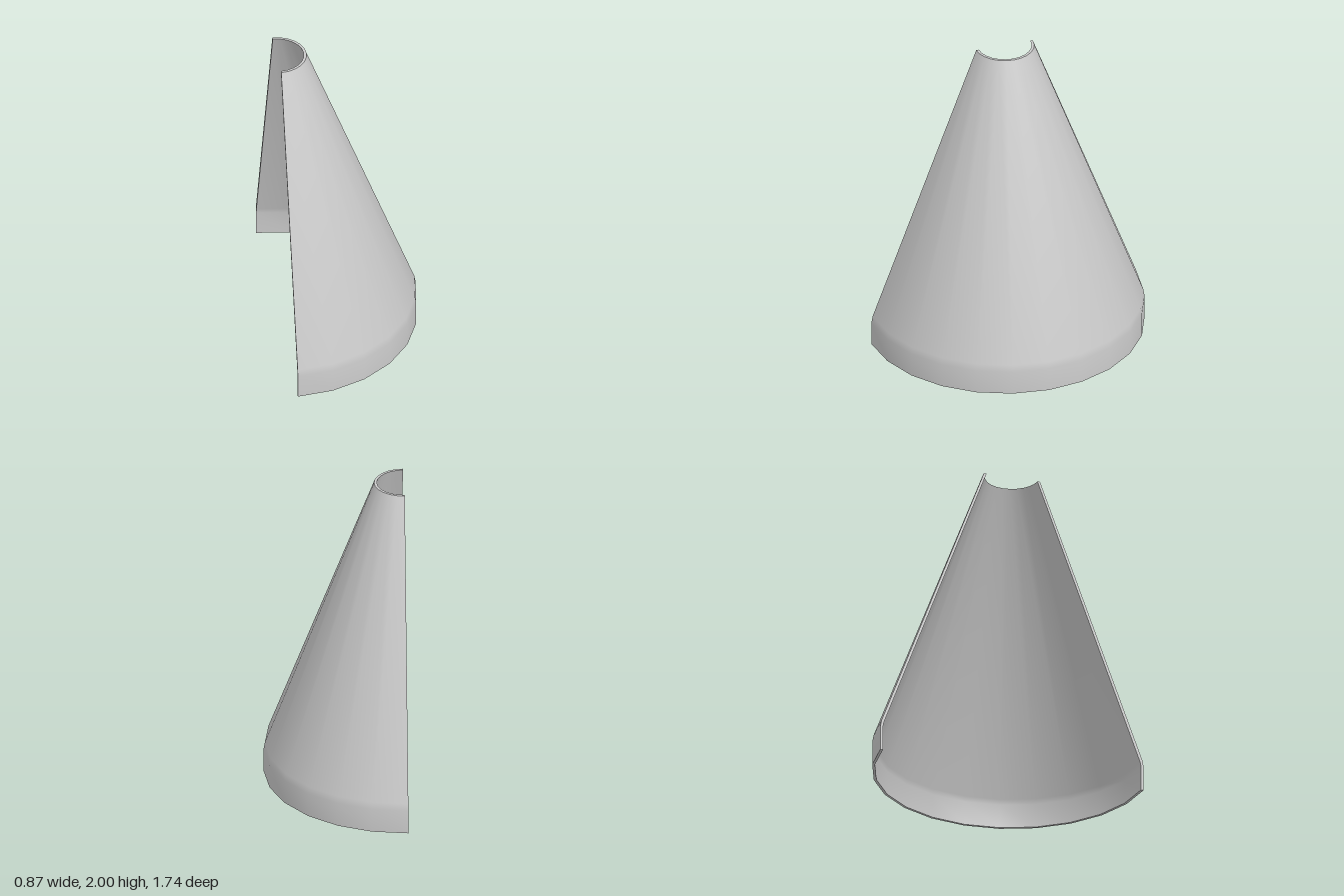
import * as THREE from 'three';
import { toCreasedNormals } from 'three/addons/utils/BufferGeometryUtils.js';

export function createModel() {
  const model = new THREE.Group();
  model.name = 'halfCone';
  model.position.x = -0.435; // the cone axis lies on the cut plane

  const material = new THREE.MeshStandardMaterial({ color: 0xcccccc });

  // Closed wall section as radius, height: up the outside, down the inside
  const section = [
    [0.87, 0], [0.87, 0.155], [0.862, 0.2], [0.185, 2],
    [0.168, 2], [0.846, 0.19], [0.853, 0.155], [0.853, 0],
  ].map(([r, y]) => new THREE.Vector2(r, y));

  // Half-turn shell with a short straight skirt, 12 facets round
  const shellGeometry = new THREE.LatheGeometry([...section, section[0].clone()], 12, 0, Math.PI);
  const shell = new THREE.Mesh(toCreasedNormals(shellGeometry, 0.5), material);
  shell.name = 'coneShell';
  model.add(shell);

  // Thin walls closing the shell along both cut edges
  const edgeGeometry = new THREE.ShapeGeometry(new THREE.Shape(section)).rotateY(-Math.PI / 2);
  for (const side of [1, -1]) {
    const edge = new THREE.Mesh(edgeGeometry, material);
    edge.name = side > 0 ? 'frontCutEdge' : 'backCutEdge';
    edge.scale.z = side;
    model.add(edge);
  }

  const root = new THREE.Group();
  root.add(model);
  return root;
}
